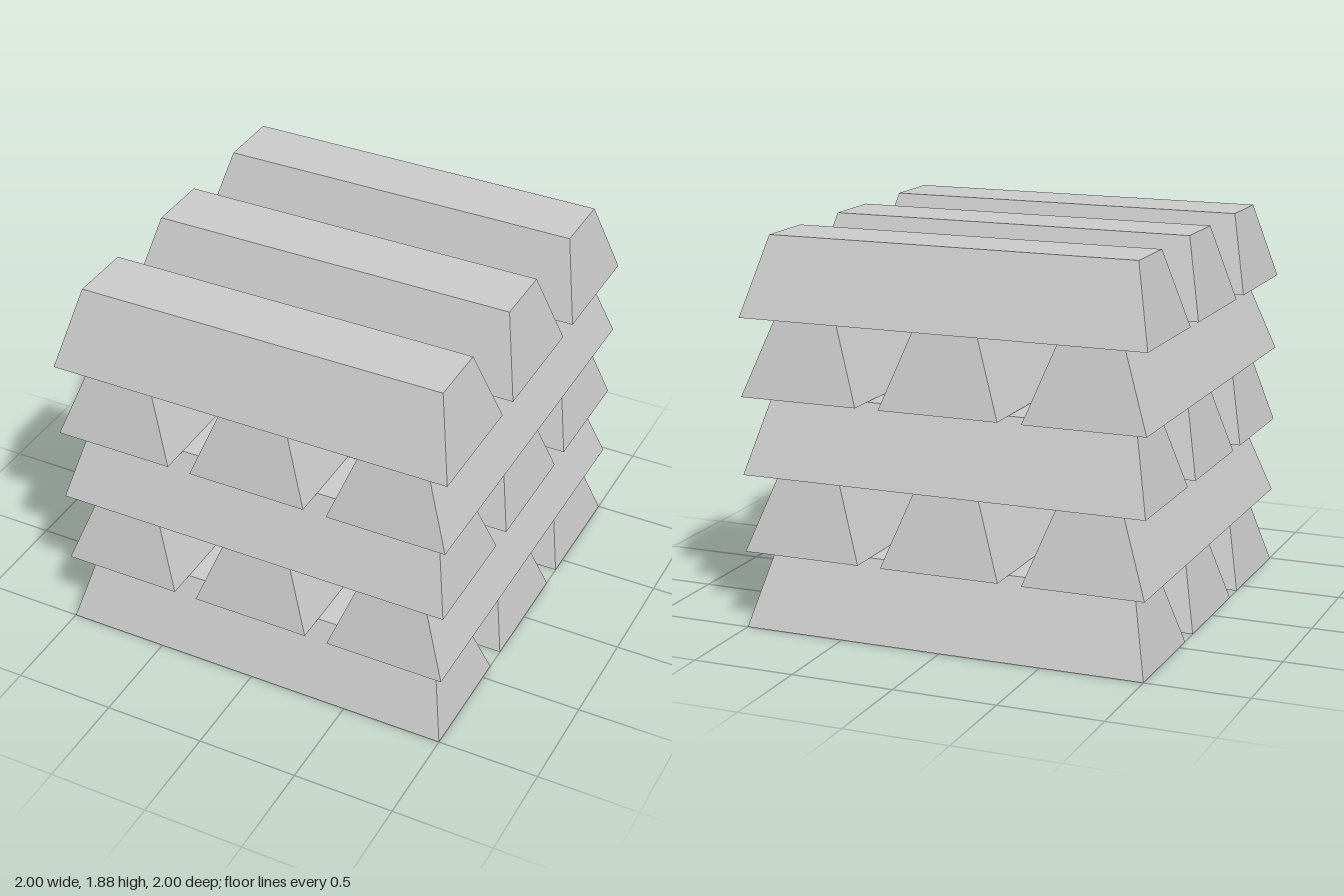
import * as THREE from 'three';

const LAYERS = 5, PITCH = 0.3765, HEIGHT = 0.374, SPACING = 0.705;

// Bar tapering upward: bottom 2 x 0.59, top 1.81 x 0.31, standing on y = 0
function taperedBar() {
  const geometry = new THREE.BoxGeometry(2, HEIGHT, 0.59).translate(0, HEIGHT / 2, 0);
  const p = geometry.attributes.position;
  for (let i = 0; i < p.count; i++) {
    if (p.getY(i) > HEIGHT / 2) {
      p.setX(i, Math.sign(p.getX(i)) * 0.905);
      p.setZ(i, Math.sign(p.getZ(i)) * 0.155);
    }
  }
  geometry.computeVertexNormals();
  return geometry;
}

export function createModel() {
  const model = new THREE.Group();
  model.name = 'ingotStack';
  const geometry = taperedBar();
  const material = new THREE.MeshStandardMaterial({ color: 0xcccccc, flatShading: true });

  // Layers of three bars, each turned a quarter from the one below
  for (let level = 0; level < LAYERS; level++) {
    const layer = new THREE.Group();
    layer.name = `layer${level + 1}`;
    layer.position.y = level * PITCH;
    layer.rotation.y = (level % 2) * Math.PI / 2;
    for (const side of [-1, 0, 1]) {
      const bar = new THREE.Mesh(geometry, material);
      bar.name = 'ingot';
      bar.position.z = side * SPACING;
      layer.add(bar);
    }
    model.add(layer);
  }
  return model;
}
